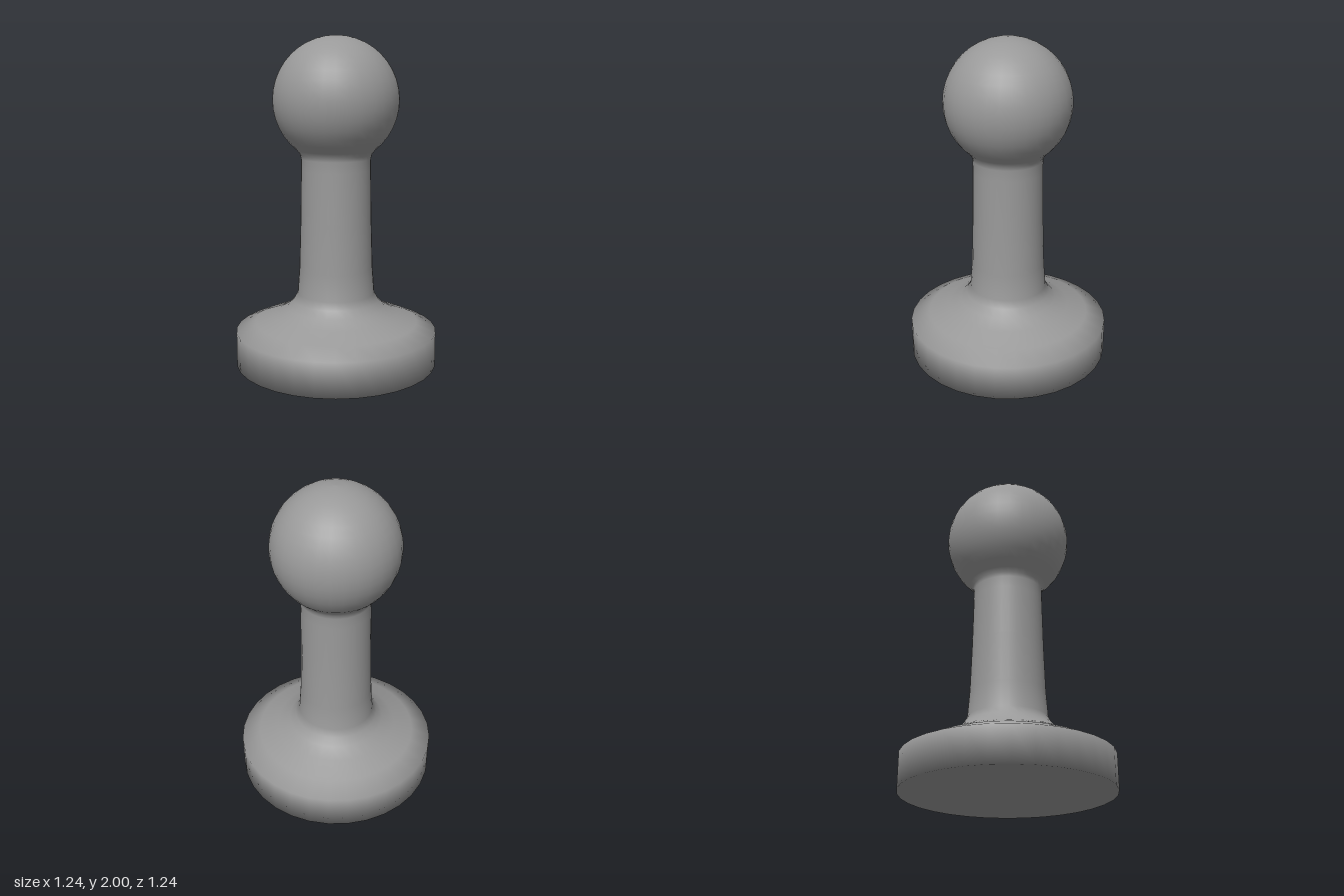
import * as THREE from 'three';

const SEGMENTS = 32;
const HEAD_RADIUS = 0.38;
const HEAD_CENTER = 1.62;

export function createModel() {
  const group = new THREE.Group();
  group.name = 'gamePiece';

  const grey = new THREE.MeshStandardMaterial({ color: 0x999999 });
  grey.name = 'grey';

  // Underside, base wall, sloping shoulder, tapered neck and collar fillet
  const profile = [
    [0, 0], [0.618, 0], [0.618, 0.21],
    [0.5, 0.262], [0.38, 0.308], [0.3, 0.352], [0.262, 0.395], [0.237, 0.44],
    [0.225, 0.6], [0.216, 0.9], [0.211, 1.2], [0.211, 1.27], [0.217, 1.295],
  ].map(([r, y]) => new THREE.Vector2(r, y));

  // Ball head, from the collar up to the pole
  const start = -Math.acos(0.235 / HEAD_RADIUS);
  const steps = 16;
  for (let i = 0; i <= steps; i++) {
    const a = start + (Math.PI / 2 - start) * (i / steps);
    const r = i === steps ? 0 : HEAD_RADIUS * Math.cos(a);
    profile.push(new THREE.Vector2(r, HEAD_CENTER + HEAD_RADIUS * Math.sin(a)));
  }

  // One continuous smooth turning
  const body = new THREE.Mesh(new THREE.LatheGeometry(profile, SEGMENTS), grey);
  body.name = 'turnedBody';
  group.add(body);

  return group;
}
